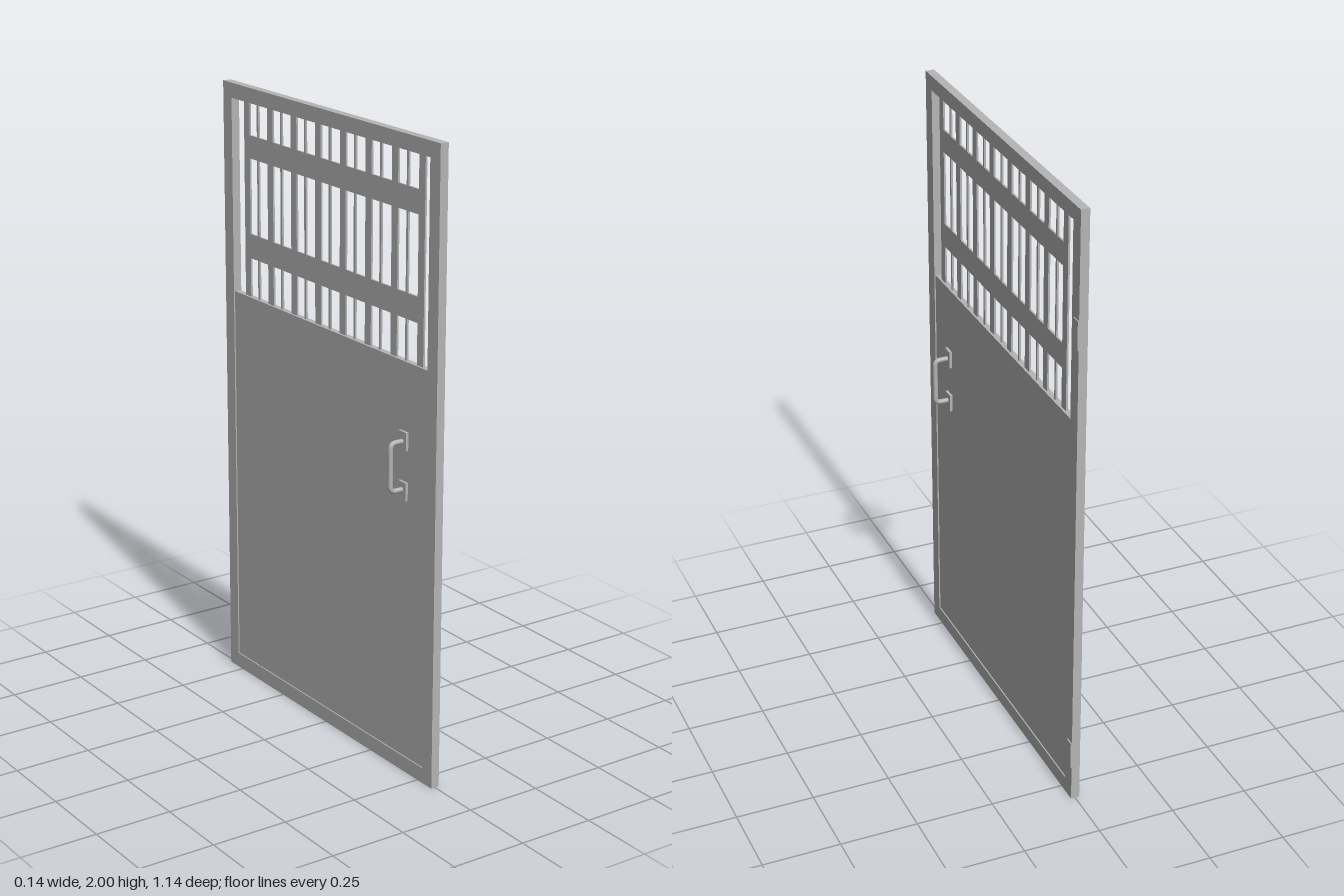
import * as THREE from 'three';

const grey = new THREE.MeshStandardMaterial({ color: 0xb5b5b5 });
grey.name = 'grey metal';

function add(parent, name, geometry, x = 0, y = 0, z = 0) {
  const mesh = new THREE.Mesh(geometry, grey);
  mesh.name = name;
  mesh.position.set(x, y, z);
  parent.add(mesh);
  return mesh;
}

// Rectangle path in the door plane: z range, y range
function rect(path, z0, z1, y0, y1) {
  path.moveTo(z0, y0);
  path.lineTo(z1, y0);
  path.lineTo(z1, y1);
  path.lineTo(z0, y1);
  path.closePath();
  return path;
}

// Flat plate lying in the z-y plane, centred on x = 0
function plate(shape, thickness) {
  const g = new THREE.ExtrudeGeometry(shape, { depth: thickness, bevelEnabled: false });
  g.translate(0, 0, -thickness / 2);
  g.rotateY(-Math.PI / 2);
  return g;
}

// Pull handle with rounded corners and two mounting plates, on the +x face
function makeHandle() {
  const handle = new THREE.Group();
  const out = 0.061, low = 0.924, high = 1.076, r = 0.018;
  const v = (x, y) => new THREE.Vector3(x, y, 0);
  const path = new THREE.CurvePath();
  path.add(new THREE.LineCurve3(v(0.005, low), v(out - r, low)));
  path.add(new THREE.QuadraticBezierCurve3(v(out - r, low), v(out, low), v(out, low + r)));
  path.add(new THREE.LineCurve3(v(out, low + r), v(out, high - r)));
  path.add(new THREE.QuadraticBezierCurve3(v(out, high - r), v(out, high), v(out - r, high)));
  path.add(new THREE.LineCurve3(v(out - r, high), v(0.005, high)));
  add(handle, 'handleBar', new THREE.TubeGeometry(path, 64, 0.008, 12));
  for (const y of [0.92, 1.078]) {
    add(handle, 'handlePlate', new THREE.BoxGeometry(0.012, 0.058, 0.038), 0.013, y, 0);
  }
  return handle;
}

export function createModel() {
  const door = new THREE.Group();
  door.name = 'door';

  // Outer frame
  const frame = rect(new THREE.Shape(), -0.572, 0.572, 0, 2);
  frame.holes.push(rect(new THREE.Path(), -0.524, 0.524, 0.05, 1.952));
  add(door, 'frame', plate(frame, 0.028));

  // Lower panel, set slightly back on both faces
  add(door, 'panel', new THREE.BoxGeometry(0.02, 1.281, 1.06), 0, 0.681, 0);

  // Thin grille: eight wide bars, seven narrow bars and two cross rails
  const grille = rect(new THREE.Shape(), -0.469, 0.488, 1.3, 1.97);
  const rows = [[1.321, 1.449], [1.528, 1.772], [1.846, 1.952]];
  const pitch = 0.1323;
  for (let i = 0; i < 7; i++) {
    const start = 0.473 - i * pitch;
    for (const [y0, y1] of rows) {
      grille.holes.push(rect(new THREE.Path(), start - 0.066, start - 0.0155, y0, y1));
      grille.holes.push(rect(new THREE.Path(), start - pitch + 0.0155, start - 0.075, y0, y1));
    }
  }
  add(door, 'grille', plate(grille, 0.006));

  // Hinge leaves on the right edge
  for (const y of [0.165, 1.615]) {
    add(door, 'hinge', new THREE.BoxGeometry(0.008, 0.092, 0.03), 0.014, y, -0.557);
  }

  // A pull handle on each face
  for (const turn of [0, Math.PI]) {
    const handle = makeHandle();
    handle.name = turn ? 'rightHandle' : 'leftHandle';
    handle.position.z = 0.41;
    handle.rotation.y = turn;
    door.add(handle);
  }
  return door;
}
